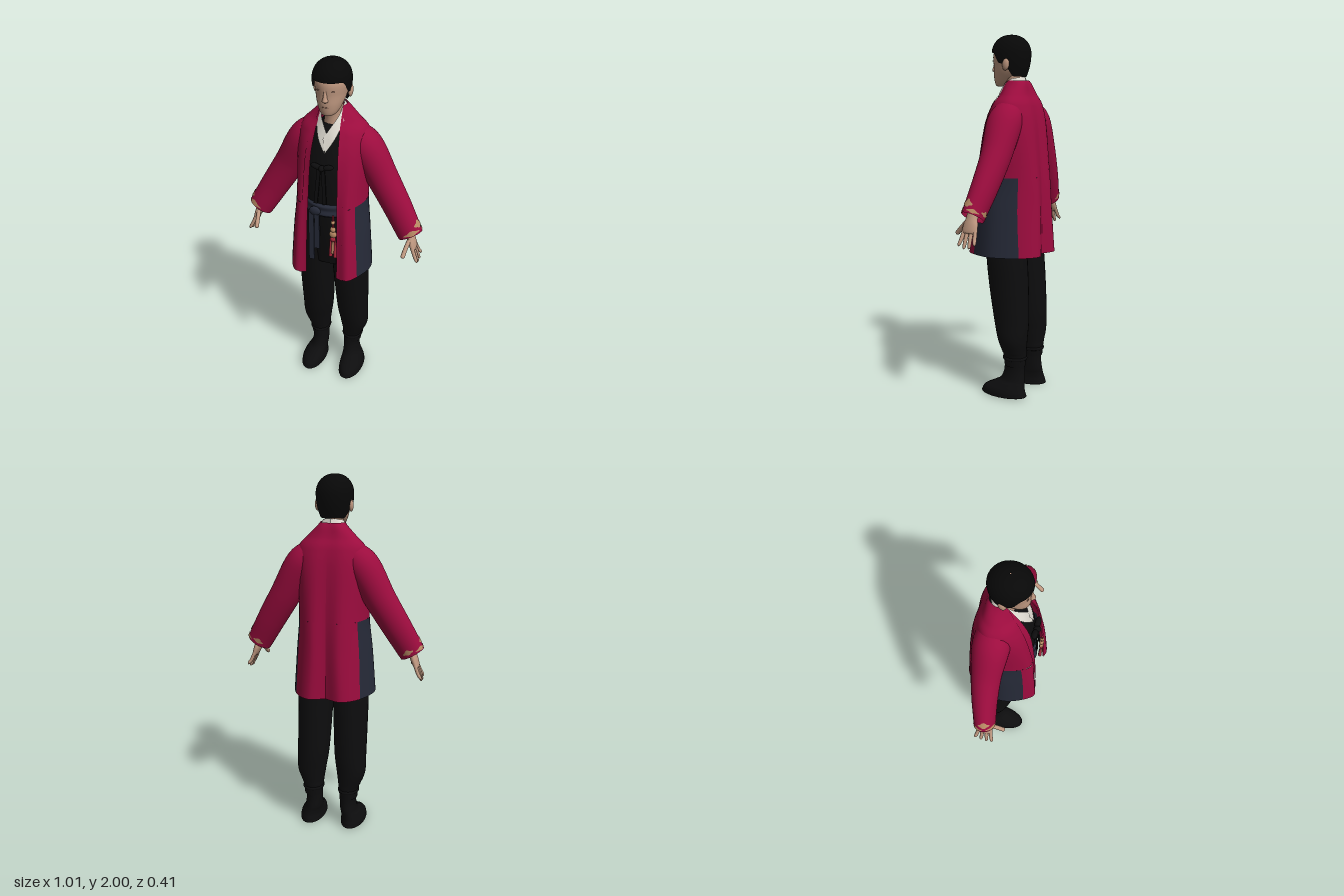
import * as THREE from 'three';
import { ParametricGeometry } from 'three/addons/geometries/ParametricGeometry.js';

const V = (x, y, z) => new THREE.Vector3(x, y, z);
const curve = (pts) => new THREE.CatmullRomCurve3(pts, false, 'catmullrom', 0.5);

function material(name, color, side = THREE.DoubleSide) {
  const m = new THREE.MeshStandardMaterial({ color, side });
  m.name = name;
  return m;
}

// Surface through elliptical rings [x, y, z, radiusAcross, radiusDepth].
// Flat rings stay horizontal (list them upwards); others follow the path.
function ringSurface(rings, flat = true) {
  const centre = curve(rings.map((r) => V(r[0], r[1], r[2])));
  const radii = curve(rings.map((r) => V(r[3], r[4], 0)));
  return (u, v, target, pad = 0) => {
    const c = centre.getPoint(v), r = radii.getPoint(v), a = u * Math.PI * 2;
    const across = V(1, 0, 0), depth = V(0, 0, 1);
    if (!flat) {
      const t = centre.getTangent(v);
      across.crossVectors(t, V(0, 0, 1)).normalize();
      depth.crossVectors(across, t).normalize();
    }
    return target.copy(c)
      .addScaledVector(across, Math.cos(a) * (r.x + pad))
      .addScaledVector(depth, -Math.sin(a) * (r.y + pad));
  };
}

// Half of the open robe, back centre to front edge: [y, x, z, x, z, ...]
const robeLevels = [
  [0.81, 0, -0.175, 0.09, -0.207, 0.17, -0.15, 0.225, -0.03, 0.225, 0.07, 0.16, 0.195, 0.09, 0.19],
  [1.05, 0, -0.175, 0.08, -0.195, 0.16, -0.135, 0.21, -0.02, 0.205, 0.07, 0.15, 0.177, 0.087, 0.178],
  [1.24, 0, -0.17, 0.08, -0.182, 0.15, -0.13, 0.192, -0.03, 0.187, 0.06, 0.142, 0.155, 0.082, 0.165],
  [1.5, 0, -0.15, 0.08, -0.155, 0.15, -0.12, 0.195, -0.04, 0.185, 0.04, 0.14, 0.105, 0.075, 0.135],
  [1.62, 0, -0.13, 0.08, -0.13, 0.15, -0.1, 0.185, -0.05, 0.17, 0.02, 0.12, 0.07, 0.067, 0.092],
  [1.68, 0, -0.105, 0.06, -0.105, 0.11, -0.085, 0.135, -0.045, 0.125, 0, 0.09, 0.035, 0.062, 0.055],
  [1.73, 0, -0.09, 0.045, -0.09, 0.075, -0.07, 0.085, -0.04, 0.082, -0.01, 0.07, 0.015, 0.06, 0.025],
  [1.755, 0, -0.08, 0.035, -0.078, 0.055, -0.06, 0.065, -0.04, 0.065, -0.02, 0.062, -0.005, 0.058, 0.005],
];
const robeColumns = [1, 3, 5, 7, 9, 11, 13].map((i) => curve(robeLevels.map((l) => V(l[i], l[0], l[i + 1]))));
const robePoint = (u, v) => curve(robeColumns.map((c) => c.getPoint(v))).getPoint(u);

export function createModel() {
  const model = new THREE.Group();
  model.name = 'robedMan';
  const crimson = material('crimson cloth', 0x9c0c3e);
  const navy = material('navy cloth', 0x262a38);
  const black = material('black cloth', 0x0d0d0e);
  const hairMat = material('black hair', 0x080808);
  const skin = material('skin', 0xbf9880, THREE.FrontSide);
  const lip = material('dark skin', 0x7d584a, THREE.FrontSide);
  const cream = material('cream cloth', 0xdedad0);
  const gold = material('tan embroidery', 0xb98a64);
  const red = material('tassel red', 0xa8283c);

  const add = (parent, name, geometry, mat, pos = [0, 0, 0], scale = [1, 1, 1]) => {
    const mesh = new THREE.Mesh(geometry, mat);
    mesh.name = name;
    mesh.position.set(...pos);
    mesh.scale.set(...scale);
    parent.add(mesh);
    return mesh;
  };
  const patch = (parent, name, f, nu, nv, mat) => add(parent, name, new ParametricGeometry(f, nu, nv), mat);
  const loft = (parent, name, rings, mat, flat = true, nu = 28) =>
    patch(parent, name, ringSurface(rings, flat), nu, rings.length * 5, mat);
  const ball = new THREE.SphereGeometry(1, 20, 14);

  // Head, neck and face
  const head = new THREE.Group();
  head.name = 'head';
  model.add(head);
  loft(head, 'neck', [[0, 1.6, -0.015, 0.06, 0.06], [0, 1.7, -0.012, 0.048, 0.054], [0, 1.8, 0.005, 0.05, 0.06]], skin);
  loft(head, 'face', [
    [0, 1.724, 0.075, 0.004, 0.004], [0, 1.728, 0.073, 0.028, 0.03], [0, 1.745, 0.06, 0.048, 0.052],
    [0, 1.785, 0.037, 0.067, 0.08], [0, 1.83, 0.02, 0.079, 0.096], [0, 1.9, 0.015, 0.087, 0.101],
    [0, 1.95, 0.012, 0.06, 0.07], [0, 1.965, 0.012, 0.004, 0.004],
  ], skin);
  loft(head, 'nose', [[0, 1.803, 0.112, 0.003, 0.004], [0, 1.81, 0.115, 0.016, 0.019],
    [0, 1.83, 0.113, 0.011, 0.017], [0, 1.875, 0.108, 0.006, 0.008]], skin, true, 16);
  add(head, 'mouth', ball, lip, [0, 1.777, 0.113], [0.02, 0.003, 0.004]);
  for (const s of [-1, 1]) {
    add(head, 'eye', ball, lip, [s * 0.036, 1.862, 0.106], [0.013, 0.003, 0.004]);
    add(head, 'ear', ball, skin, [s * 0.092, 1.84, 0.0], [0.013, 0.033, 0.02]).rotation.x = -0.15;
  }

  // Short hair with a high fringe and low nape
  const step = (x, a, b) => THREE.MathUtils.smoothstep(x, a, b);
  patch(head, 'hair', (u, v, target) => {
    const a = u * Math.PI * 2, c = Math.cos(a);
    const low = 1.845 + 0.062 * step(c, 0.2, 0.65) - 0.07 * step(-c, 0, 0.6);
    const y = 2 - (2 - low) * (1 - Math.cos((0.01 + 0.99 * v) * Math.PI / 2));
    const h = (y - 1.9) / 0.1;
    const k = h > 0 ? Math.pow(Math.max(0, 1 - h * h), 0.45) : 1 - 0.16 * h * h;
    target.set(-Math.sin(a) * 0.101 * k, y, 0.015 + c * 0.11 * k);
  }, 48, 24, hairMat);

  // Black vest under the robe, sash and hanging ties
  loft(model, 'vest', [
    [0, 0.83, -0.01, 0.17, 0.11], [0, 1.05, 0, 0.165, 0.135], [0, 1.24, 0.005, 0.155, 0.145],
    [0, 1.4, 0.005, 0.155, 0.14], [0, 1.5, -0.005, 0.15, 0.128], [0, 1.6, -0.015, 0.12, 0.1],
    [0, 1.66, -0.02, 0.07, 0.062],
  ], black, true, 36);
  loft(model, 'sash', [[0, 1.165, 0.005, 0.15, 0.143], [0, 1.18, 0.005, 0.157, 0.157],
    [0, 1.205, 0.005, 0.156, 0.153], [0, 1.23, 0.005, 0.157, 0.157], [0, 1.245, 0.005, 0.15, 0.142]], navy, true, 36);
  [[-0.066, 0.885, 0.03], [-0.035, 0.96, 0.028]].forEach(([x, y, w], i) =>
    add(model, 'sashTie', new THREE.BoxGeometry(w, 1.2 - y, 0.008), navy, [x, (1.2 + y) / 2, 0.161 - i * 0.004]));
  add(model, 'sashKnot', ball, navy, [-0.045, 1.2, 0.16], [0.032, 0.026, 0.014]);
  add(model, 'vestKnot', ball, black, [-0.005, 1.46, 0.158], [0.016, 0.016, 0.02]);
  for (const s of [-1, 1]) {
    add(model, 'vestBow', ball, black, [s * 0.032 - 0.005, 1.465, 0.152], [0.032, 0.015, 0.016]).rotation.z = s * 0.25;
    add(model, 'vestRibbon', new THREE.BoxGeometry(0.02, 0.21, 0.006), black, [s * 0.018 - 0.01, 1.36, 0.163])
      .rotation.set(-0.08, 0, s * 0.07);
  }

  // Crossed white collar
  const innerEdge = curve([V(0, 1.775, -0.068), V(0.045, 1.77, -0.045), V(0.056, 1.757, 0),
    V(0.046, 1.71, 0.05), V(0.02, 1.665, 0.083), V(-0.015, 1.605, 0.111)]);
  const outerEdge = curve([V(0, 1.735, -0.08), V(0.06, 1.735, -0.055), V(0.073, 1.72, 0),
    V(0.072, 1.68, 0.047), V(0.046, 1.605, 0.102), V(0.004, 1.535, 0.132)]);
  for (const s of [1, -1]) {
    patch(model, 'collar', (u, v, target) => {
      target.lerpVectors(innerEdge.getPoint(u), outerEdge.getPoint(u), v);
      target.x *= s;
      target.z += s > 0 ? 0.004 * u : 0;
    }, 30, 4, cream);
  }

  // Waist tassel on the left
  const tassel = new THREE.Group();
  tassel.name = 'tassel';
  tassel.position.set(0.064, 0, 0.178);
  model.add(tassel);
  add(tassel, 'tasselCord', new THREE.CylinderGeometry(0.005, 0.005, 0.16, 8), red, [0, 1.12, 0]);
  [[1.16, 0.011], [1.115, 0.016], [1.085, 0.021], [1.055, 0.016]].forEach(([y, r], i) =>
    add(tassel, 'tasselKnot', ball, i === 3 ? red : gold, [0, y, 0], [r, r, 0.012]));
  [[-0.013, red, 0.945], [0.013, red, 0.94], [0, gold, 0.965]].forEach(([x, mat, y]) =>
    add(tassel, 'tasselFringe', new THREE.CylinderGeometry(0.005, 0.011, 1.05 - y, 10), mat, [x, (1.05 + y) / 2, 0]));

  // One side of clothes and limbs, then mirrored
  for (const s of [1, -1]) {
    const side = new THREE.Group();
    side.name = s > 0 ? 'leftSide' : 'rightSide';
    side.scale.x = s;
    model.add(side);

    // Robe with navy side panels and a raised front band
    const robe = (name, u0, u1, v0, v1, mat, lift = 0) => patch(side, name, (u, v, target) => {
      target.copy(robePoint(u0 + (u1 - u0) * u, v0 + (v1 - v0) * v));
      target.z += lift;
    }, 20, 20, mat);
    const top = 2 / 7, panelBack = 2.2 / 6, panelFront = 4.55 / 6;
    robe('robeBack', 0, panelBack, 0, top, crimson);
    robe('robeSidePanel', panelBack, panelFront, 0, top, navy);
    robe('robeFront', panelFront, 1, 0, top, crimson);
    robe('robeUpper', 0, 1, top, 1, crimson);
    robe('robeFrontBand', 5.5 / 6, 1, 0, 1, crimson, 0.006);

    // Wide sleeve with embroidered patches near the cuff
    const sleeve = ringSurface([
      [0.1, 1.6, -0.035, 0.07, 0.075], [0.17, 1.525, -0.035, 0.092, 0.095], [0.264, 1.36, -0.037, 0.086, 0.08],
      [0.355, 1.21, -0.025, 0.08, 0.068], [0.42, 1.1, -0.01, 0.074, 0.06], [0.443, 1.06, -0.005, 0.071, 0.058],
    ], false);
    patch(side, 'sleeve', sleeve, 36, 40, crimson);
    [[0.67, 0.91, 0.1, 0.06], [0.53, 0.8, 0.07, 0.045], [0.42, 0.92, 0.08, 0.05], [0.24, 0.86, 0.06, 0.05]]
      .forEach(([u0, v0, ru, rv]) => patch(side, 'cuffEmbroidery', (u, v, target) => {
        const a = u * Math.PI * 2, r = (0.02 + 0.98 * v) * (1 + 0.18 * Math.cos(a * 4));
        sleeve(u0 + ru * r * Math.cos(a), Math.min(1, v0 + rv * r * Math.sin(a)), target, 0.003);
      }, 28, 5, gold));

    // Hand with four fingers and a thumb
    const hand = new THREE.Group();
    hand.name = 'hand';
    side.add(hand);
    loft(hand, 'palm', [[0.42, 1.12, 0, 0.026, 0.03], [0.442, 1.06, 0, 0.022, 0.032], [0.457, 1.02, 0, 0.02, 0.042],
      [0.47, 0.985, 0, 0.014, 0.04], [0.473, 0.978, 0, 0.002, 0.01]], skin, false, 20);
    [[-0.033, 0.925], [-0.011, 0.908], [0.011, 0.905], [0.032, 0.918]].forEach(([z, y]) =>
      loft(hand, 'finger', [[0.464, 1.0, z, 0.01, 0.011], [0.483, 0.955, z * 1.2, 0.01, 0.01],
        [0.497, y + 0.01, z * 1.4, 0.008, 0.008], [0.5, y, z * 1.4, 0.001, 0.001]], skin, false, 12));
    const thumb = curve([V(0.447, 1.045, 0.02), V(0.438, 1.01, 0.06), V(0.432, 0.975, 0.093)]);
    add(hand, 'thumb', new THREE.TubeGeometry(thumb, 10, 0.012, 10), skin);
    add(hand, 'thumbTip', ball, skin, [0.432, 0.975, 0.093], [0.012, 0.012, 0.012]);

    // Baggy trouser leg gathered at the ankle
    loft(side, 'trouserLeg', [
      [0.105, 0.18, -0.065, 0.051, 0.06], [0.105, 0.24, -0.065, 0.058, 0.066], [0.11, 0.27, -0.062, 0.066, 0.071],
      [0.117, 0.34, -0.056, 0.083, 0.084], [0.11, 0.45, -0.045, 0.091, 0.1], [0.105, 0.65, -0.025, 0.097, 0.114],
      [0.1, 0.82, -0.01, 0.1, 0.118], [0.085, 1.0, 0, 0.09, 0.12], [0.08, 1.15, 0, 0.08, 0.11],
    ], black);
    add(side, 'ankleTie', new THREE.TorusGeometry(0.055, 0.007, 8, 28).rotateX(Math.PI / 2), black,
      [0.105, 0.225, -0.065], [1, 1.4, 1.15]);

    // Soft boot
    loft(side, 'boot', [
      [0.122, 0.001, 0, 0.003, 0.003], [0.122, 0.003, -0.003, 0.064, 0.128], [0.123, 0.022, -0.003, 0.07, 0.134],
      [0.121, 0.048, -0.008, 0.066, 0.122], [0.114, 0.075, -0.032, 0.057, 0.094], [0.106, 0.1, -0.052, 0.05, 0.073],
      [0.101, 0.15, -0.06, 0.047, 0.061], [0.102, 0.21, -0.063, 0.049, 0.06],
    ], black);
  }
  return model;
}
